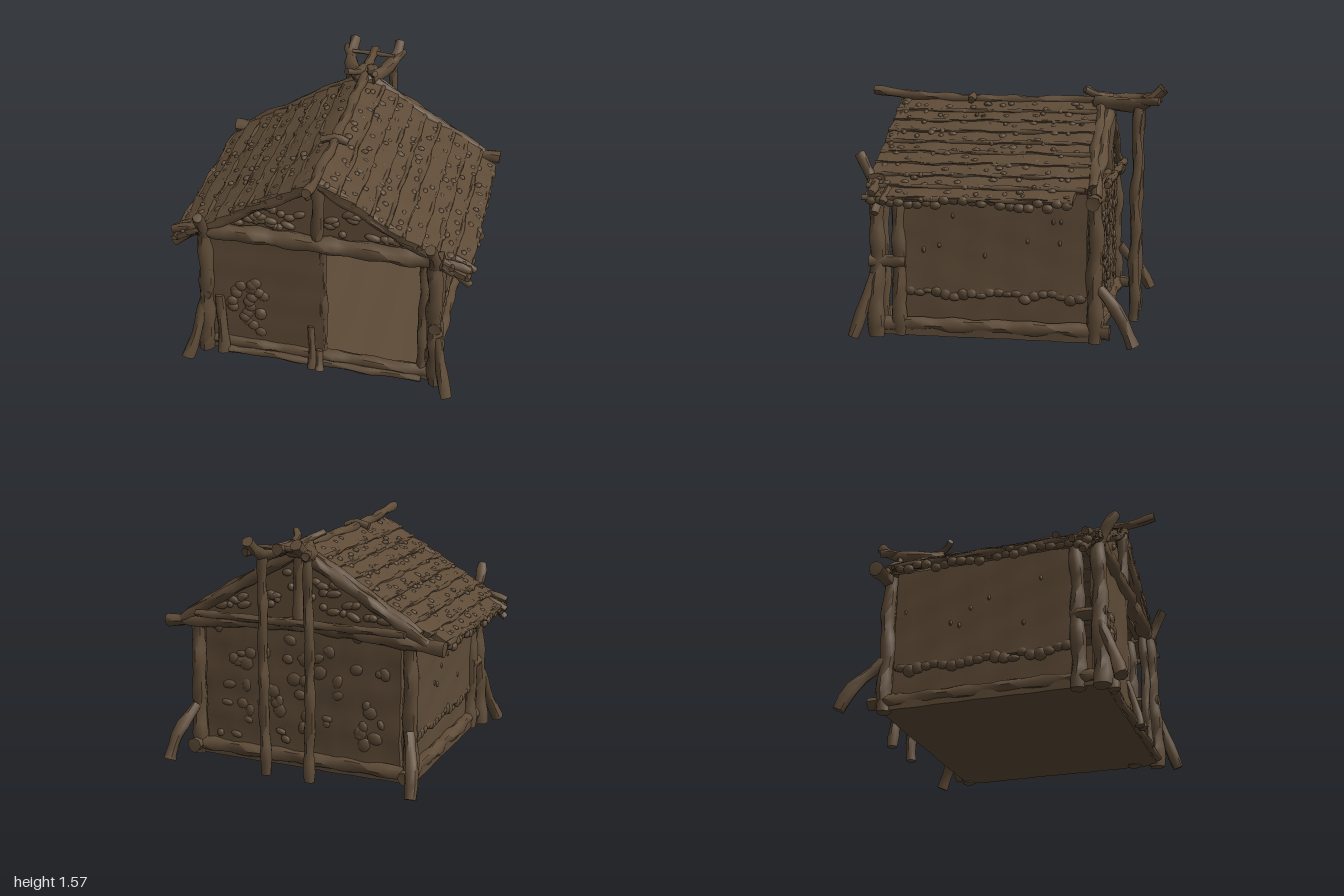
import * as THREE from 'three';
import { mergeGeometries, mergeVertices, toCreasedNormals } from 'three/addons/utils/BufferGeometryUtils.js';

const wood = new THREE.MeshStandardMaterial({ color: 0x5e4b37, side: THREE.DoubleSide });
wood.name = 'weathered wood';

let seed = 11;
const rand = () => (seed = (seed * 16807) % 2147483647) / 2147483647;
const spread = (a, b) => a + (b - a) * rand();
const V = (p) => new THREE.Vector3(...p);

// smooth repeatable bumps, -1 to 1
const noise = (x, y, z) =>
  (Math.sin(x * 23 + y * 9 + 1.3) + Math.sin(y * 27 - z * 11) + Math.sin(z * 25 + x * 13 + 2.1)) / 3;

function bumpy(geo, amount) {
  const p = geo.attributes.position;
  for (let i = 0; i < p.count; i++) {
    const [x, y, z] = [p.getX(i), p.getY(i), p.getZ(i)];
    p.setXYZ(i, x + amount * noise(x, y, z), y + amount * noise(y + 3, z, x), z + amount * noise(z + 5, x, y));
  }
  return toCreasedNormals(geo, 0.9);
}

// knotty tapered pole with closed ends, following a few points
function poleGeometry(points, r0, r1 = r0) {
  const path = points.length > 2 ? new THREE.CatmullRomCurve3(points.map(V)) : new THREE.LineCurve3(...points.map(V));
  const n = Math.max(6, Math.round(path.getLength() / 0.06)), sides = 8;
  const geo = new THREE.TubeGeometry(path, n, 1, sides, false);
  const p = geo.attributes.position, v = new THREE.Vector3();
  const phase = rand() * 9;
  for (let i = 0; i <= n; i++) {
    const u = THREE.MathUtils.clamp((i - 1) / (n - 2), 0, 1);
    const from = path.getPointAt(i / n), to = path.getPointAt(u);
    const bend = 0.006 * Math.sin(i * 0.9 + phase);
    for (let j = 0; j <= sides; j++) {
      const k = i * (sides + 1) + j;
      const knot = 1 + 0.12 * Math.sin(i * 1.7 + phase) + 0.08 * Math.sin((j % sides) * 2.4 + i);
      const r = i === 0 || i === n ? 0 : THREE.MathUtils.lerp(r0, r1, u) * knot;
      v.fromBufferAttribute(p, k).sub(from).multiplyScalar(r).add(to);
      p.setXYZ(k, v.x + bend, v.y, v.z + bend);
    }
  }
  geo.deleteAttribute('uv');
  geo.deleteAttribute('normal');
  return toCreasedNormals(mergeVertices(geo), 0.95);
}

function lump(pos, size) {
  const geo = new THREE.IcosahedronGeometry(1, 1);
  geo.scale(...size);
  geo.rotateZ(spread(-0.5, 0.5));
  geo.translate(...pos);
  geo.deleteAttribute('uv');
  return toCreasedNormals(geo, 0.6);
}

export function createModel() {
  const hut = new THREE.Group();
  const add = (name, geo) => {
    const mesh = new THREE.Mesh(geo, wood);
    mesh.name = name;
    hut.add(mesh);
    return mesh;
  };
  const pole = (name, points, r0, r1) => add(name, poleGeometry(points, r0, r1));
  const bothSides = (name, points, r0, r1) => {
    for (const s of [1, -1]) pole(name, points.map(([x, y, z]) => [s * x, y, z]), r0, r1);
  };
  const panel = (name, size, pos, amount = 0.008) => {
    const seg = size.map((d) => Math.max(1, Math.round(d / 0.07)));
    const geo = new THREE.BoxGeometry(...size, ...seg);
    geo.translate(...pos);
    return add(name, bumpy(geo, amount));
  };
  const lumps = (name, count, make) => add(name, mergeGeometries(Array.from({ length: count }, (_, i) => make(i))));

  // floor and sill logs
  panel('floor', [1.54, 0.06, 1.4], [0, 0.065, 0.07], 0.004);
  bothSides('sideSill', [[0.74, 0.1, 0.74], [0.74, 0.1, -0.71]], 0.045);
  pole('frontSill', [[-0.76, 0.1, 0.75], [0.76, 0.09, 0.75]], 0.04);
  pole('frontStep', [[-0.62, 0.055, 0.79], [0.68, 0.055, 0.79]], 0.025);
  pole('backSill', [[-0.76, 0.1, -0.62], [0.76, 0.1, -0.62]], 0.045);

  // corner posts and their splayed braces
  bothSides('frontPost', [[0.78, 0.02, 0.77], [0.75, 0.5, 0.76], [0.73, 1.05, 0.76]], 0.055, 0.045);
  bothSides('innerFrontPost', [[0.74, 0.03, 0.62], [0.74, 0.97, 0.62]], 0.05, 0.042);
  bothSides('backPost', [[0.75, 0.03, -0.61], [0.74, 0.95, -0.61]], 0.05, 0.045);
  bothSides('postTip', [[0.73, 0.98, 0.76], [0.73, 1.08, 0.82], [0.72, 1.17, 0.88]], 0.04, 0.032);
  bothSides('frontBrace', [[0.87, 0.03, 0.9], [0.82, 0.2, 0.84], [0.77, 0.42, 0.77]], 0.04, 0.03);
  bothSides('backBrace', [[0.84, 0.04, -0.86], [0.82, 0.2, -0.78], [0.75, 0.37, -0.64]], 0.042, 0.035);
  bothSides('postTie', [[0.75, 0.5, 0.8], [0.75, 0.5, 0.58]], 0.04);

  // woven side walls, the upper mat hanging over the lower one with a ragged hem
  for (const s of [1, -1]) {
    panel('lowerSideWall', [0.04, 0.3, 1.2], [s * 0.7, 0.24, 0.02]);
    panel('upperSideWall', [0.05, 0.66, 1.16], [s * 0.725, 0.64, 0.02], 0.007);
    lumps('sideWallHem', 20, (i) =>
      lump([s * 0.735, 0.31 + spread(-0.025, 0.02), 0.55 - i * 0.056], [0.025, spread(0.02, 0.045), 0.042]));
    lumps('sideWallKnots', 8, () =>
      lump([s * 0.745, spread(0.5, 0.8), spread(-0.5, 0.5)], [0.015, 0.02, 0.012]));
  }

  // front: covered half, open doorway and stakes
  panel('frontWall', [0.78, 0.9, 0.05], [-0.36, 0.55, 0.73], 0.007);
  lumps('frontWallPatch', 22, () =>
    lump([spread(-0.6, -0.37), spread(0.2, 0.62), 0.75], [0.04, 0.04, spread(0.015, 0.03)]));
  pole('doorPost', [[0.02, 0.06, 0.73], [0.02, 1.0, 0.73]], 0.03);
  pole('doorJamb', [[0.67, 0.06, 0.73], [0.67, 1.0, 0.73]], 0.03);
  pole('cornerStake', [[-0.65, 0.04, 0.8], [-0.66, 0.48, 0.76]], 0.04, 0.03);
  pole('centreStake', [[-0.04, 0.03, 0.82], [-0.05, 0.33, 0.76]], 0.03, 0.02);
  pole('centrePeg', [[0.01, 0.03, 0.83], [0.01, 0.15, 0.78]], 0.03, 0.025);

  // back wall with stud frame
  panel('backWall', [1.36, 0.92, 0.04], [0, 0.54, -0.6], 0.012);
  for (const side of [1, -1])
    lumps('backWallDaub', 60, () =>
      lump([spread(-0.62, 0.62), spread(0.16, 0.95), -0.6 + side * 0.022], [spread(0.02, 0.055), spread(0.02, 0.05), 0.016]));
  bothSides('backStud', [[0.43, 0.1, -0.57], [0.43, 0.95, -0.57]], 0.025);
  pole('backRail', [[-0.68, 0.82, -0.57], [0.68, 0.82, -0.57]], 0.028);
  pole('backTieBeam', [[-0.96, 0.92, -0.62], [0, 0.98, -0.63], [0.96, 0.92, -0.62]], 0.045, 0.04);
  pole('backOuterRail', [[-0.72, 1.0, -0.67], [0.72, 1.0, -0.67]], 0.025);

  // gables: infill, tie beam, king post and rafters
  const gable = new THREE.Shape([[-0.74, 0.98], [0.74, 0.98], [0, 1.43]].map((p) => new THREE.Vector2(...p)));
  for (const [z, out] of [[0.68, 0.07], [-0.58, -0.04]]) {
    const infill = new THREE.ExtrudeGeometry(gable, { depth: 0.04, bevelEnabled: false });
    infill.translate(0, 0, z - 0.02);
    add('gableInfill', infill);
    lumps('gableThatch', 34, () => {
      const x = spread(-0.58, 0.58);
      return lump([x, spread(1.05, 1.38 - 0.58 * Math.abs(x)), z + Math.sign(out) * 0.025], [spread(0.02, 0.06), 0.025, 0.022]);
    });
    pole('kingPost', [[0, 0.98, z + out], [0, 1.46, z + out]], 0.038);
    bothSides('rafter', [[0, 1.45, z + out], [0.45, 1.18, z + out], [0.85, 0.94, z + out]], 0.04, 0.035);
  }
  pole('frontTieBeam', [[-0.78, 1.0, 0.75], [0.78, 1.0, 0.75]], 0.055);

  // stick ends under the front eaves
  for (const [x, y, z] of [[0.95, 0.95, 0.74], [0.97, 0.9, 0.66], [0.95, 0.83, 0.72]])
    bothSides('eaveStick', [[0.72, 0.99, z], [0.85, (y + 0.99) / 2 + 0.01, z], [x, y, z]], 0.035, 0.024);

  // thatch roof in overlapping courses with tufts
  const pitch = Math.atan(0.6), courses = 9;
  for (const s of [1, -1]) {
    for (let k = 0; k < courses; k++) {
      const x = 0.07 + k * 0.1, y = 1.465 - 0.6 * x;
      const last = k === courses - 1;
      const geo = new THREE.BoxGeometry(0.15, 0.035, last ? 1.28 : 1.36, 3, 1, 30);
      geo.rotateZ(-s * (pitch - 0.1));
      geo.translate(s * x, y + 0.005, last ? 0.14 : 0.11);
      add('thatchCourse', bumpy(geo, 0.011));
      const ex = x + 0.06;
      pole('thatchBatten', [[s * ex, 1.482 - 0.6 * ex, 0.79], [s * ex, 1.482 - 0.6 * ex, last ? -0.5 : -0.56]], 0.017);
      lumps('thatchTufts', 16, (i) => {
        const tx = x + spread(-0.03, 0.07);
        return lump([s * tx, 1.482 - 0.6 * tx, 0.74 - i * 0.08 + spread(-0.03, 0.03)], [spread(0.015, 0.03), 0.018, spread(0.015, 0.03)]);
      });
    }
    lumps('eaveFringe', 22, (i) =>
      lump([s * spread(0.91, 0.94), spread(0.88, 0.92), 0.74 - i * 0.057], [0.025, 0.03, 0.035]));
  }
  bothSides('backVerge', [[0.04, 1.45, -0.58], [0.45, 1.2, -0.58], [0.8, 0.99, -0.6]], 0.035);

  // ridge pole with its forked back end
  pole('ridgePole', [[0, 1.535, 0.99], [0, 1.5, 0.7], [0, 1.475, 0.2], [0, 1.475, -0.5], [0, 1.5, -0.91]], 0.03, 0.034);
  pole('ridgeTie', [[-0.09, 1.475, 0.3], [0, 1.5, 0.3], [0.09, 1.475, 0.3]], 0.025);
  add('ridgeKnot', lump([0, 1.46, -0.62], [0.1, 0.055, 0.13]));
  bothSides('ridgeFork', [[0.03, 1.47, -0.55], [0.12, 1.455, -0.72], [0.16, 1.47, -0.87], [0.16, 1.55, -0.98]], 0.05, 0.035);
  bothSides('ridgeHorn', [[0.02, 1.49, -0.65], [0.05, 1.52, -0.53], [0.1, 1.55, -0.46]], 0.03, 0.02);
  bothSides('forkSpur', [[0.13, 1.46, -0.78], [0.17, 1.48, -0.85], [0.2, 1.48, -0.95]], 0.03, 0.025);
  pole('forkTie', [[-0.15, 1.5, -0.85], [0.15, 1.5, -0.85]], 0.015);

  // tall free-standing posts behind the hut
  bothSides('backSupport', [[0.15, 0.03, -0.81], [0.16, 0.7, -0.81], [0.15, 1.47, -0.82]], 0.036, 0.03);
  return hut;
}
